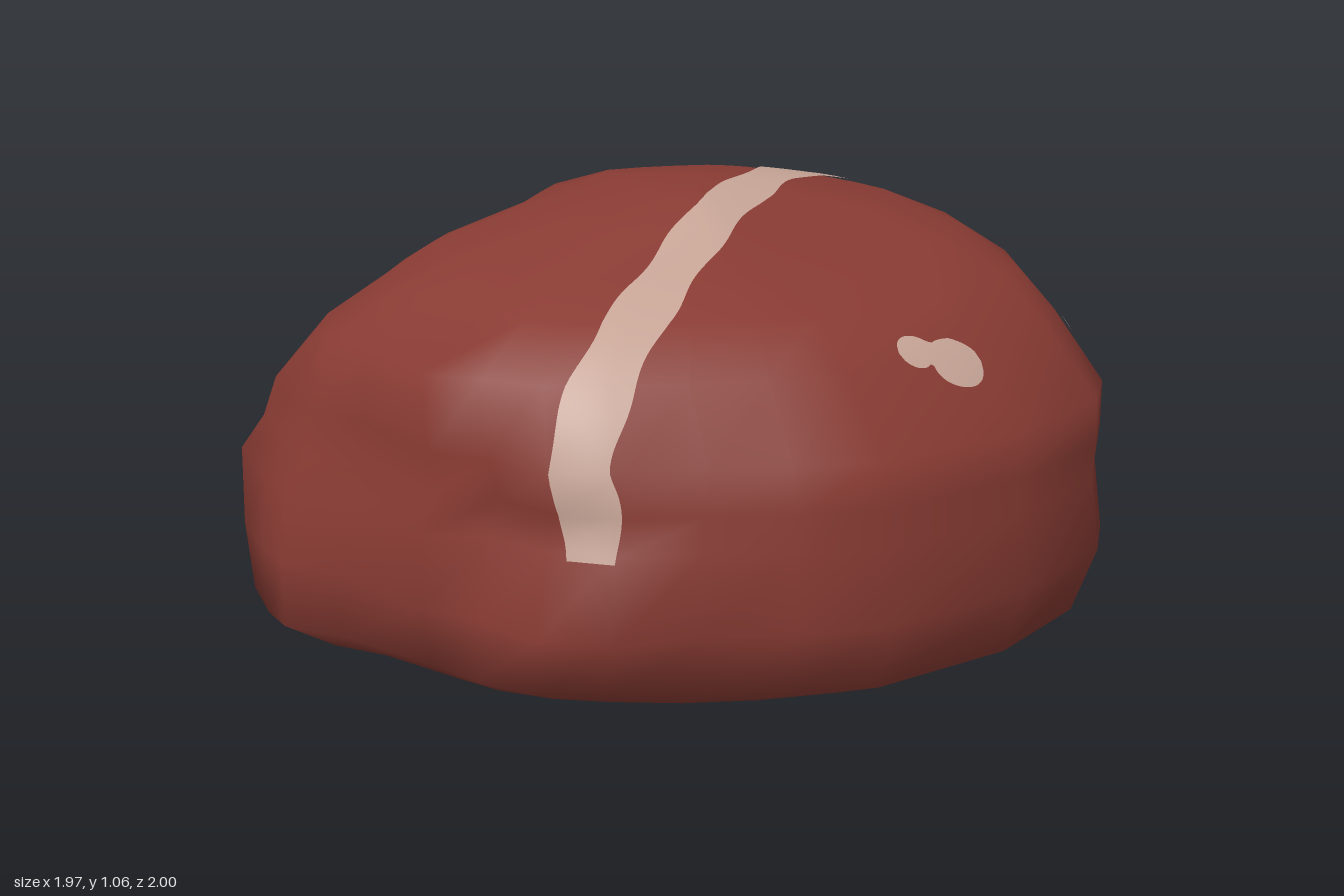
import * as THREE from 'three';

// Plan outline of the boulder at its widest, [x, z], scaled to about one unit
const OUTLINE = [
  [-0.24, -1], [0.2, -0.92], [0.43, -0.85], [0.62, -0.81], [0.75, -0.78], [0.83, -0.71], [0.9, -0.57],
  [0.98, -0.42], [0.97, -0.13], [1, 0.17], [0.95, 0.45], [0.86, 0.68], [0.73, 0.82], [0.4, 0.96],
  [0, 1], [-0.2, 0.94], [-0.38, 0.86], [-0.56, 0.79], [-0.71, 0.72], [-0.81, 0.58], [-0.89, 0.45],
  [-0.92, 0.14], [-1, -0.01], [-1, -0.15], [-0.97, -0.4], [-0.84, -0.54], [-0.54, -0.75],
];

// Heights with the reach on each side: [y, left, right, back, front]
const LEVELS = [
  [0, 0.72, 0.8, 0.5, 0.6],
  [0.03, 0.86, 0.84, 0.56, 0.8],
  [0.1, 0.98, 0.91, 0.73, 0.96],
  [0.25, 0.98, 0.97, 0.86, 1],
  [0.42, 0.96, 0.95, 1, 0.98],
  [0.5, 0.91, 0.97, 0.95, 0.97],
  [0.6, 0.9, 0.98, 0.88, 0.955],
  [0.76, 0.85, 0.92, 0.71, 0.82],
  [0.86, 0.68, 0.86, 0.6, 0.71],
  [0.92, 0.54, 0.79, 0.54, 0.5],
  [0.99, 0.3, 0.62, 0.44, 0.34],
  [1.05, 0.1, 0.32, 0.22, 0.22],
];

// Local bulges and dents: [x, y, z, radius, outward push]
const BUMPS = [
  // front left: pinch between two swellings, tucked in at the foot
  [-0.74, 0.43, 0.62, 0.19, -0.11],
  [-0.65, 0.64, 0.7, 0.14, 0.06],
  [-0.6, 0.25, 0.76, 0.13, 0.06],
  [-0.85, 0.08, 0.4, 0.2, -0.11],
  [-0.62, 0.05, 0.66, 0.16, -0.08],
  [-0.78, 0.76, 0.36, 0.14, 0.04],
  // back right: full shoulder and foot
  [0.72, 0.48, -0.78, 0.2, 0.02],
  [0.62, 0.82, -0.52, 0.24, 0.1],
  [0.68, 0.1, -0.55, 0.22, 0.12],
  [0.95, 0.24, -0.42, 0.12, 0.04],
  [0.95, 0.55, -0.4, 0.17, -0.05],
  // slopes of the crown
  [-0.75, 0.8, -0.3, 0.2, -0.08],
  [-0.32, 0.92, -0.48, 0.22, -0.07],
  [0.3, 1.03, 0.22, 0.16, -0.06],
];

function makeGeometry(positions, index, normals) {
  const g = new THREE.BufferGeometry();
  g.setAttribute('position', new THREE.Float32BufferAttribute(positions, 3));
  g.setIndex(index);
  if (normals) g.setAttribute('normal', new THREE.Float32BufferAttribute(normals, 3));
  else g.computeVertexNormals();
  return g;
}

// Stacked rings closed by a fan at the bottom and the top
function boulderGeometry() {
  const pos = [], index = [], n = OUTLINE.length;
  for (const [y, left, right, back, front] of LEVELS) {
    const round = THREE.MathUtils.clamp((y - 0.6) * 1.5, 0, 0.6);
    for (const [ox, oz] of OUTLINE) {
      const k = 1 + (1 / Math.hypot(ox, oz) - 1) * round;
      const x = ox * k * (ox < 0 ? left : right);
      const z = oz * k * (oz < 0 ? back : front);
      let push = 0;
      for (const [bx, by, bz, radius, amount] of BUMPS) {
        const d = Math.hypot(x - bx, y - by, z - bz) / radius;
        push += amount * Math.exp(-d * d);
      }
      const scale = 1 + push / Math.hypot(x, z);
      pos.push(x * scale, y, z * scale);
    }
  }
  const bottom = LEVELS.length * n, top = bottom + 1;
  pos.push(0, 0, 0, 0.1, 1.062, 0);
  const last = (LEVELS.length - 1) * n;
  for (let i = 0; i < n; i++) {
    const next = (i + 1) % n;
    for (let r = 0; r < last; r += n) {
      const a = r + i, b = r + next;
      index.push(a, a + n, b, b, a + n, b + n);
    }
    index.push(bottom, i, next, top, last + next, last + i);
  }
  return makeGeometry(pos, index);
}

// Thin band laid on the boulder along a path; halfWidth(t) shapes its edges
function bandGeometry(rock, points, halfWidth, steps) {
  const curve = new THREE.CatmullRomCurve3(points.map((p) => new THREE.Vector3(...p)));
  const centre = new THREE.Vector3(0, 0.4, 0);
  const ray = new THREE.Raycaster();
  const pos = [], normals = [], index = [], across = 8;
  for (let i = 0; i <= steps; i++) {
    const t = i / steps, p = curve.getPointAt(t);
    const side = curve.getTangentAt(t).cross(p.clone().sub(centre)).normalize();
    for (let j = 0; j <= across; j++) {
      const offset = (j / across * 2 - 1) * halfWidth(t);
      const dir = p.clone().addScaledVector(side, offset).sub(centre).normalize();
      ray.set(centre, dir);
      const hit = ray.intersectObject(rock)[0];
      const normal = hit.normal.clone();
      if (normal.dot(dir) < 0) normal.negate();
      const q = hit.point.clone().addScaledVector(dir, 0.007);
      pos.push(q.x, q.y, q.z);
      normals.push(normal.x, normal.y, normal.z);
      if (i < steps && j < across) {
        const a = i * (across + 1) + j, c = a + across + 1;
        index.push(a, a + 1, c, a + 1, c + 1, c);
      }
    }
  }
  return makeGeometry(pos, index, normals);
}

export function createModel() {
  const group = new THREE.Group();
  const stone = new THREE.MeshStandardMaterial({ color: 0x883b33 });
  stone.name = 'red stone';
  const vein = new THREE.MeshStandardMaterial({ color: 0xc6a496 });
  vein.name = 'pale vein';

  const add = (name, geometry, material) => {
    const mesh = new THREE.Mesh(geometry, material);
    mesh.name = name;
    group.add(mesh);
  };

  // Raycasts hit the boulder from inside, so they use a double-sided twin
  const geometry = boulderGeometry();
  add('boulder', geometry, stone);
  const target = new THREE.Mesh(geometry, new THREE.MeshBasicMaterial({ side: THREE.DoubleSide }));

  // Long vein over the top, slightly wavy, rounded at its right end
  add('longVein', bandGeometry(target, [
    [-0.56, 0.41, 0.72], [-0.57, 0.5, 0.73], [-0.6, 0.61, 0.74], [-0.51, 0.74, 0.66], [-0.3, 0.88, 0.5],
    [-0.1, 0.98, 0.35], [0.1, 1.03, 0.2], [0.3, 1.04, 0.04], [0.5, 1.03, -0.1],
    [0.67, 0.97, -0.19], [0.84, 0.81, -0.31], [0.91, 0.6, -0.39], [0.91, 0.43, -0.4],
  ], (t) => {
    const start = 0.018 * (1 - THREE.MathUtils.smoothstep(t, 0, 0.06));
    const ends = 0.015 * Math.abs(t * 2 - 1);
    const cap = Math.min(1, (1 - t) / 0.025);
    return (0.054 + ends - start + 0.006 * Math.sin(t * 55)) * Math.sqrt(1 - (1 - cap) ** 2);
  }, 140), vein);

  // Double spot on the front: two blobs joined by a waist
  add('frontSpot', bandGeometry(target, [
    [0.148, 0.775, 0.78], [0.22, 0.775, 0.79], [0.29, 0.75, 0.81], [0.362, 0.742, 0.81],
  ], (t) => {
    const blob = (c, r, h) => h * Math.sqrt(Math.max(0, 1 - ((t - c) / r) ** 2));
    const waist = t > 0.2 && t < 0.8 ? 0.03 : 0;
    return Math.max(blob(0.22, 0.22, 0.04), blob(0.69, 0.31, 0.06), waist);
  }, 40), vein);

  // Small round spot on the side
  add('sideSpot', bandGeometry(target, [
    [0.82, 0.715, 0.592], [0.82, 0.72, 0.54], [0.82, 0.722, 0.488],
  ], (t) => 0.048 * Math.sqrt(Math.max(0, 1 - (2 * t - 1) ** 2)), 24), vein);

  return group;
}
